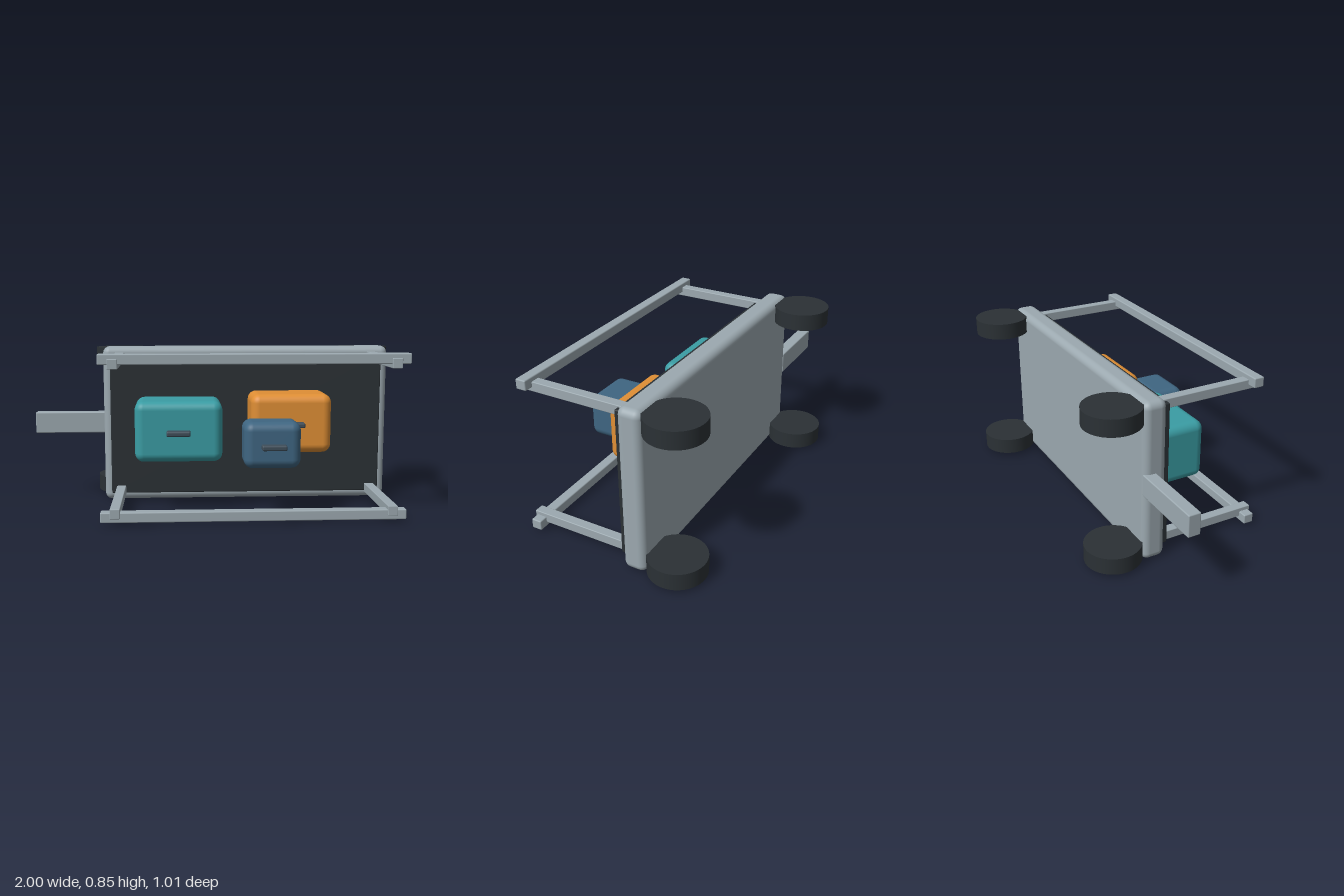
import * as THREE from 'three';
import { RoundedBoxGeometry } from 'three/addons/geometries/RoundedBoxGeometry.js';

const mat = (color) => new THREE.MeshStandardMaterial({ color });

export function createModel() {
  const group = new THREE.Group();
  const metal = mat(0x9ca9b0), dark = mat(0x2b3135), grip = mat(0x3f4e5a);

  // Rounded block from its min and max corners
  function block(name, [x0, y0, z0], [x1, y1, z1], radius, material, segments = 4) {
    const geo = new RoundedBoxGeometry(x1 - x0, y1 - y0, z1 - z0, segments, radius);
    const mesh = new THREE.Mesh(geo, material);
    mesh.name = name;
    mesh.position.set((x0 + x1) / 2, (y0 + y1) / 2, (z0 + z1) / 2);
    group.add(mesh);
    return mesh;
  }

  // Cart bed lying on its long edge, its loading mat facing the front
  block('platform', [-0.62, 0, -0.24], [0.945, 0.85, -0.118], 0.037, metal);
  block('deckMat', [-0.58, 0.045, -0.118], [0.9, 0.81, -0.085], 0.006, dark, 2);
  block('towBar', [-1, 0.37, -0.24], [-0.6, 0.485, -0.175], 0.006, metal, 2);

  // Wheels behind the bed
  const wheelGeo = new THREE.CylinderGeometry(0.145, 0.145, 0.088, 48);
  for (const x of [-0.527, 0.85]) {
    for (const y of [0.06, 0.794]) {
      const wheel = new THREE.Mesh(wheelGeo, dark);
      wheel.name = 'wheel';
      wheel.position.set(x, y, -0.36);
      group.add(wheel);
    }
  }

  // Side railings: two posts and one rail per long side
  for (const [side, postY, railY] of [['lower', 0.036, 0.014], ['upper', 0.769, 0.79]]) {
    for (const x of [-0.552, 0.826]) {
      block(side + 'Post', [x, postY, -0.118], [x + 0.05, postY + 0.05, 0.441], 0.004, metal, 2);
    }
    block(side + 'Rail', [-0.6, railY, 0.376], [0.922, railY + 0.052, 0.431], 0.006, metal, 2);
  }

  // Suitcases: corners, colour and the carry handle's low corner
  const cases = [
    ['tealCase', [-0.437, 0.27, -0.09], [0.015, 0.584, 0.213], 0x3a9da4, [-0.273, 0.415, 0.224]],
    ['orangeCase', [0.165, 0.308, -0.09], [0.585, 0.615, 0.182], 0xe08f35, [0.314, 0.45, 0.195]],
    ['blueCase', [0.108, 0.275, 0.23], [0.39, 0.506, 0.433], 0x3f6682, [0.189, 0.378, 0.446]],
  ];
  for (const [name, min, max, color, [x, y, z]] of cases) {
    block(name, min, max, 0.045, mat(color), 5);
    block(name + 'Handle', [x, y, z], [x + 0.122, y + 0.026, z + 0.056], 0.008, grip, 3);
  }

  return group;
}
